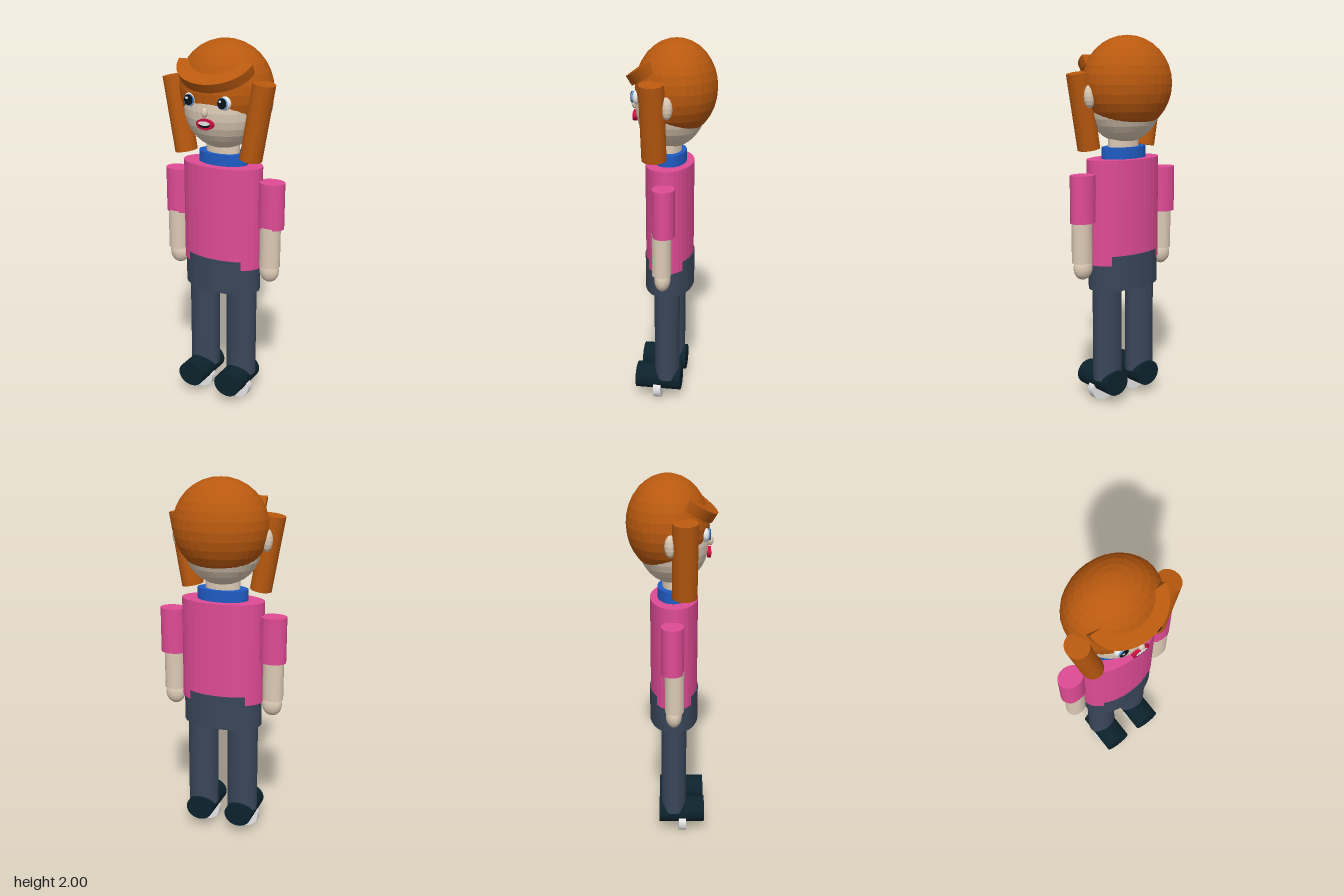
import * as THREE from 'three';

const paint = (name, color) => {
  const m = new THREE.MeshStandardMaterial({ color, flatShading: true });
  m.name = name;
  return m;
};

export function createModel() {
  const hair = paint('copper hair', 0xb9590f);
  const skin = paint('skin', 0xdccab5);
  const pink = paint('pink shirt', 0xdf4b95);
  const navy = paint('navy trousers', 0x394659);
  const blue = paint('blue collar', 0x1f5cc4);
  const dark = paint('dark shoe', 0x0c222c);
  const white = paint('white', 0xeeeeee);
  const red = paint('red lips', 0xc8103f);
  const iris = paint('blue iris', 0x5a93d6);
  const black = paint('black pupil', 0x0a1218);

  const model = new THREE.Group();
  model.name = 'doll';

  const add = (name, geometry, material, x, y, z) => {
    const mesh = new THREE.Mesh(geometry, material);
    mesh.name = name;
    mesh.position.set(x, y, z);
    model.add(mesh);
    return mesh;
  };
  // Ellipsoid with the given radii
  const ball = (name, mat, x, y, z, rx, ry, rz, seg = 32) =>
    add(name, new THREE.SphereGeometry(1, seg, seg / 2).scale(rx, ry, rz), mat, x, y, z);
  // Upright elliptical column between two heights
  const column = (name, mat, x, z, y0, y1, rx, rz) =>
    add(name, new THREE.CylinderGeometry(1, 1, y1 - y0, 32).scale(rx, 1, rz), mat, x, (y0 + y1) / 2, z);
  // Elliptical disc or rod lying along z
  const disc = (name, mat, x, y, z, rx, ry, depth) =>
    add(name, new THREE.CylinderGeometry(1, 1, depth, 32).rotateX(Math.PI / 2).scale(rx, ry, 1), mat, x, y, z);

  // Head: the hair ellipsoid overlaps the face and forms the hairline
  ball('head', skin, 0, 1.655, 0.007, 0.212, 0.2155, 0.184);
  ball('hair', hair, 0, 1.75, -0.022, 0.255, 0.25, 0.213);
  ball('nose', skin, 0, 1.66, 0.198, 0.017, 0.025, 0.017, 16);

  // Fringe: half-ellipse slab sloping down over the forehead
  const half = new THREE.Shape();
  half.absellipse(0, 0, 0.21, 0.172, 0, Math.PI);
  const fringe = add('fringe',
    new THREE.ExtrudeGeometry(half, { depth: 0.055, bevelEnabled: false, curveSegments: 24 }),
    hair, 0, 1.9, 0.092);
  fringe.rotation.x = 2.15;

  // Mouth
  disc('lips', red, 0, 1.6, 0.193, 0.049, 0.028, 0.018);
  disc('mouthOpening', black, 0, 1.597, 0.203, 0.032, 0.013, 0.004);
  disc('teeth', white, 0, 1.606, 0.205, 0.032, 0.011, 0.004);

  // Neck, collar and body
  column('neck', skin, 0, 0.01, 1.38, 1.5, 0.095, 0.06);
  column('collar', blue, 0, 0.008, 1.35, 1.42, 0.14, 0.083);
  column('torso', pink, 0, 0.012, 0.8, 1.36, 0.23, 0.127);
  column('hips', navy, 0, 0.012, 0.66, 0.85, 0.221, 0.132);

  for (const s of [1, -1]) {
    const side = s > 0 ? 'left' : 'right';

    // Eye in layers, ear and pigtail
    ball(side + 'Eye', white, s * 0.099, 1.712, 0.168, 0.035, 0.036, 0.022, 24);
    disc(side + 'Iris', iris, s * 0.096, 1.713, 0.188, 0.028, 0.03, 0.008);
    disc(side + 'Pupil', black, s * 0.096, 1.714, 0.193, 0.024, 0.027, 0.006);
    disc(side + 'EyeGlint', white, s * 0.096 - 0.008, 1.724, 0.197, 0.007, 0.007, 0.004);
    ball(side + 'Ear', skin, s * 0.243, 1.69, -0.008, 0.032, 0.06, 0.03, 16);
    const tail = column(side + 'Pigtail', hair, s * 0.228, 0.065, 1.41, 1.81, 0.058, 0.064);
    tail.rotation.z = -s * 0.175;

    // Arm
    column(side + 'Sleeve', pink, s * 0.286, 0.003, 1.04, 1.29, 0.071, 0.058);
    column(side + 'Forearm', skin, s * 0.286, 0.013, 0.825, 1.05, 0.057, 0.05);
    ball(side + 'Hand', skin, s * 0.283, 0.795, 0.01, 0.055, 0.063, 0.042);

    // Leg, barrel-shaped shoe and round sole
    column(side + 'Leg', navy, s * 0.117, 0.011, 0.14, 0.68, 0.086, 0.069);
    disc(side + 'Shoe', dark, s * 0.116, 0.125, 0.056, 0.078, 0.07, 0.25);
    disc(side + 'Sole', white, s * 0.118, 0.07, 0.06, 0.083, 0.07, 0.042);
  }
  return model;
}
